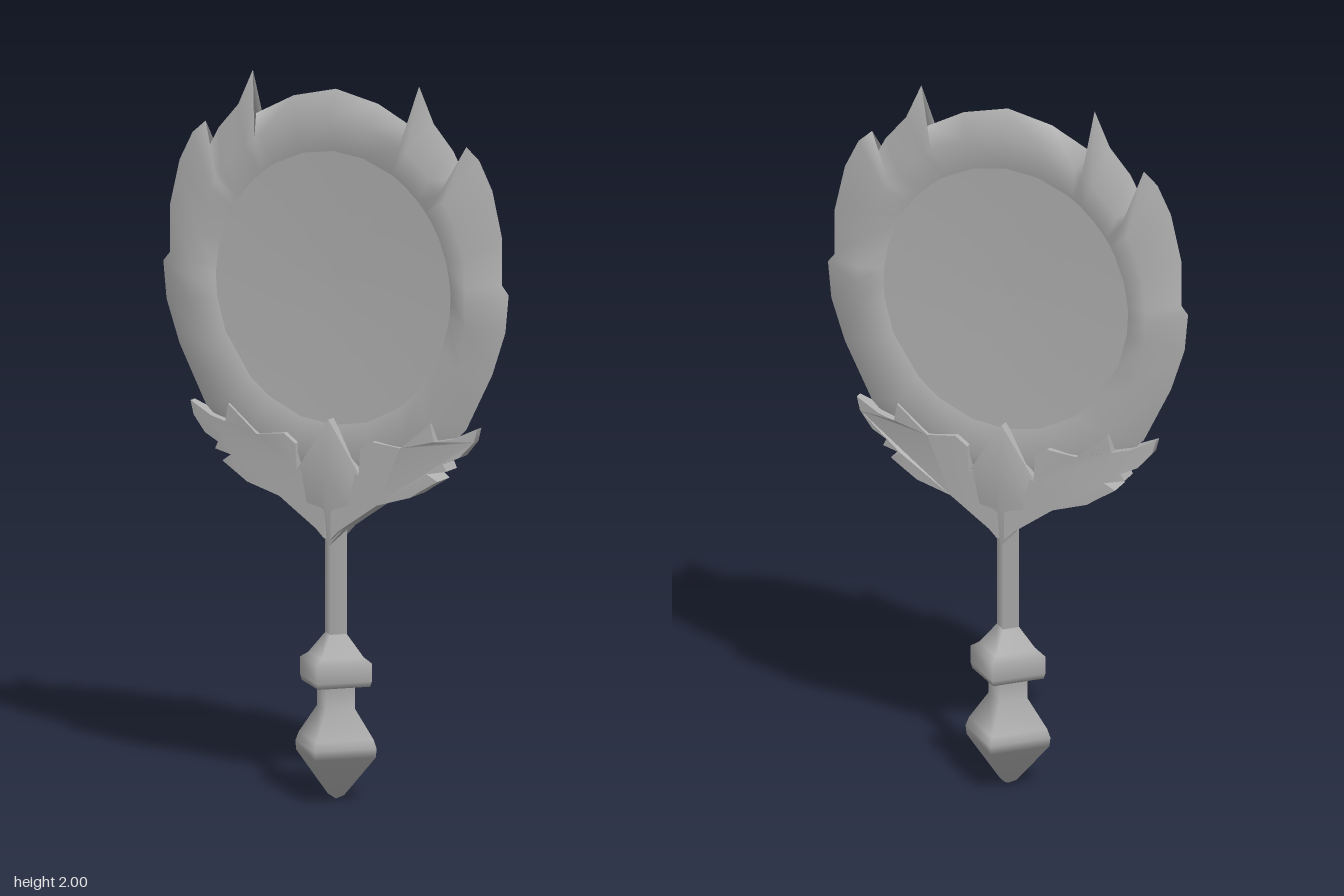
import * as THREE from 'three';
import { toCreasedNormals } from 'three/addons/utils/BufferGeometryUtils.js';

const metal = new THREE.MeshStandardMaterial({ color: 0xb0b0b0 });
metal.name = 'grey metal';

function part(name, geometry) {
  const mesh = new THREE.Mesh(geometry, metal);
  mesh.name = name;
  return mesh;
}

// Completes a right-hand half outline (top to bottom) into a closed clockwise loop.
function mirrorLoop(half) {
  const left = half.slice(1, -1).reverse().map(([x, y, a]) => [-x, y, 360 - a]);
  return [...half, ...left];
}

// Skin across rows of equal loops, outermost first; side is 1 for front, -1 for back.
function shell(rows, side) {
  const n = rows[0].length;
  const positions = [];
  const index = [];
  rows.forEach((row) => row.forEach(([x, y, z]) => positions.push(x, y, z * side)));
  for (let r = 0; r < rows.length - 1; r++) {
    for (let i = 0; i < n; i++) {
      const a = r * n + i, b = r * n + (i + 1) % n;
      const c = a + n, d = b + n;
      if (side > 0) index.push(a, c, b, b, c, d);
      else index.push(a, b, c, b, d, c);
    }
  }
  const g = new THREE.BufferGeometry();
  g.setAttribute('position', new THREE.Float32BufferAttribute(positions, 3));
  g.setIndex(index);
  g.computeVertexNormals();
  return g;
}

// Frame outline with feather tips: x, y, and the angle on the inner ovals.
const FRAME = mirrorLoop([
  [0, 1.97, 0], [0.13, 1.94, 15], [0.245, 1.88, 30], [0.255, 2, 33],
  [0.3, 1.9, 38], [0.36, 1.83, 46], [0.4, 1.755, 52], [0.4, 1.845, 55],
  [0.44, 1.81, 59], [0.48, 1.73, 64], [0.51, 1.6, 75], [0.51, 1.47, 85],
  [0.53, 1.445, 90], [0.52, 1.34, 98], [0.48, 1.22, 113], [0.4, 1.06, 135],
  [0.3, 0.96, 147], [0.15, 0.89, 164], [0, 0.87, 180],
]);

function oval(rx, ry, depth) {
  return FRAME.map(([, , deg]) => {
    const t = THREE.MathUtils.degToRad(deg);
    return [rx * Math.sin(t), 1.42 + ry * Math.cos(t), depth(deg)];
  });
}

// Ridge swells at the two widest points of the frame.
const ridgeDepth = (deg) => {
  const away = Math.min(Math.abs(deg - 90), Math.abs(deg - 270));
  return 0.037 + 0.018 * Math.max(0, 1 - away / 15);
};

const WING = [
  [0.01, 0.93], [0.095, 0.915], [0.1, 0.985], [0.135, 1.01], [0.22, 1.0],
  [0.31, 1.075], [0.32, 1.025], [0.37, 1.035], [0.44, 1.068], [0.43, 1.03],
  [0.39, 0.985], [0.345, 0.965], [0.355, 0.945], [0.3, 0.935], [0.33, 0.915],
  [0.28, 0.885], [0.25, 0.865], [0.15, 0.835], [0.035, 0.755], [0.01, 0.73],
];

// Wing thinning toward its feather tips.
function wing(side) {
  const shape = new THREE.Shape(WING.map(([x, y]) => new THREE.Vector2(x * side, y)));
  const g = new THREE.ExtrudeGeometry(shape, { depth: 1, bevelEnabled: false });
  const p = g.attributes.position;
  for (let i = 0; i < p.count; i++) {
    const x = Math.abs(p.getX(i));
    const thick = x < 0.3 ? 0.052 - 0.03 * x : 0.043 - 0.22 * (x - 0.3);
    p.setZ(i, (p.getZ(i) - 0.5) * 2 * thick);
  }
  return toCreasedNormals(g, 0.6);
}

function lathe(points) {
  const profile = points.map(([r, y]) => new THREE.Vector2(r, y));
  return new THREE.LatheGeometry(profile, 4);
}

export function createModel() {
  const model = new THREE.Group();
  model.name = 'handMirror';

  // Frame and dished glass, one skin per side
  const inner = oval(0.36, 0.38, () => 0.016);
  const frameRows = [
    FRAME.map(([x, y]) => [x, y, 0]),
    oval(0.425, 0.475, ridgeDepth),
    inner,
  ];
  const glassRows = [
    inner,
    oval(0.2, 0.21, () => 0.01),
    oval(0, 0, () => 0.008),
  ];

  // Pointed crest between the wings
  const crest = mirrorLoop([[0, 1.06, 0], [0.095, 0.915, 0], [0.075, 0.81, 0], [0.03, 0.745, 0], [0, 0.71, 0]]);
  const crestRows = [
    crest.map(([x, y]) => [x, y, 0]),
    crest.map(([x, y]) => [x, y, y < 0.76 ? 0.036 : 0.046]),
    crest.map(() => [0, 0.91, 0.073]),
  ];

  for (const [label, side] of [['front', 1], ['back', -1]]) {
    model.add(part(label + 'Frame', shell(frameRows, side)));
    model.add(part(label + 'Glass', shell(glassRows, side)));
    model.add(part(label + 'Crest', toCreasedNormals(shell(crestRows, side), 0.7)));
  }
  model.add(part('leftWing', wing(1)), part('rightWing', wing(-1)));

  // Four-sided handle
  model.add(part('shaft', lathe([[0.033, 0.44], [0.033, 0.85]])));
  model.add(part('collar', lathe([[0.05, 0.32], [0.105, 0.32], [0.11, 0.335], [0.11, 0.385], [0.085, 0.4], [0.033, 0.46]])));
  model.add(part('pommel', lathe([
    [0, 0], [0.025, 0.012], [0.122, 0.125], [0.125, 0.15], [0.115, 0.175], [0.058, 0.255], [0.058, 0.325],
  ])));
  return model;
}
